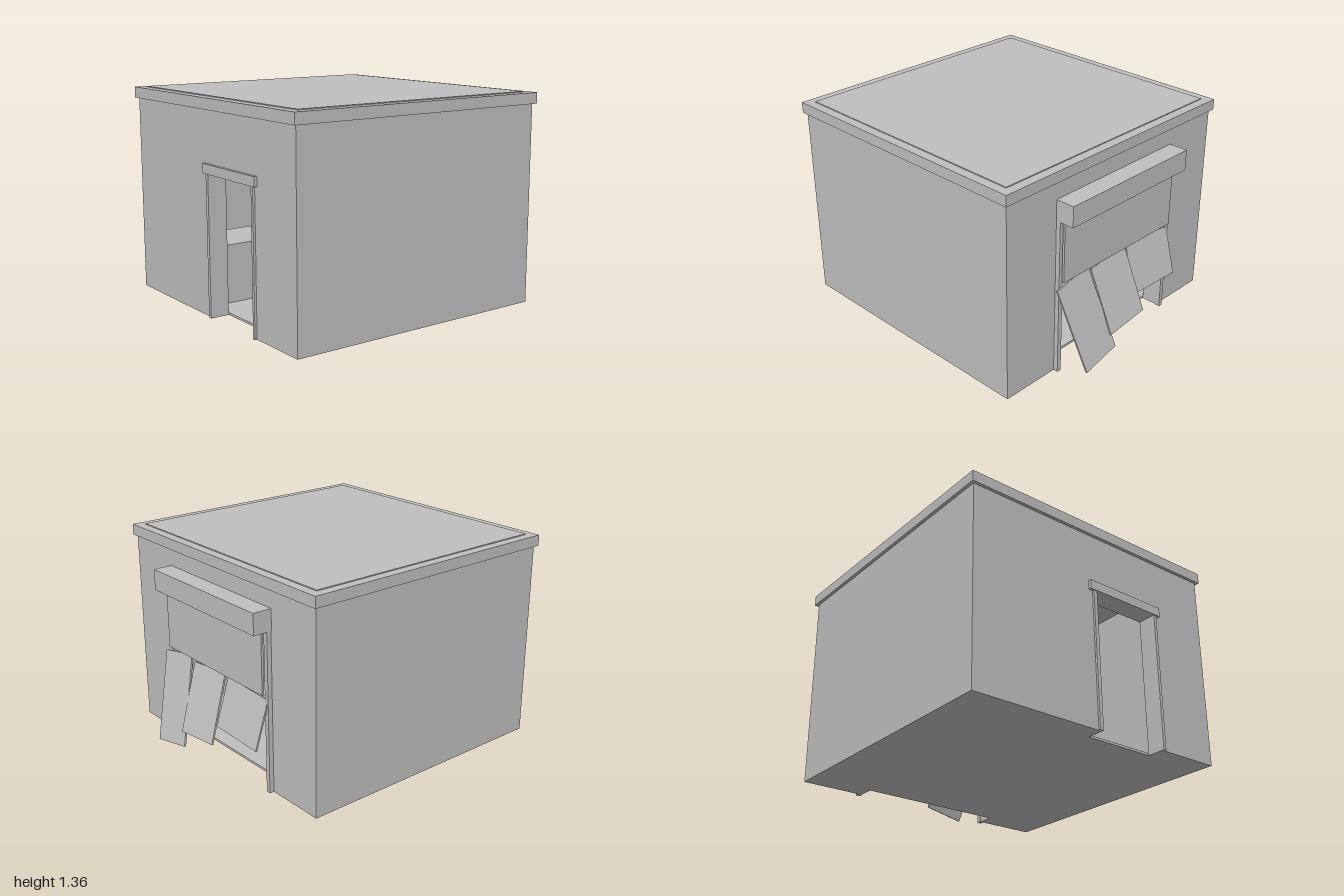
import * as THREE from 'three';

const grey = new THREE.MeshStandardMaterial({ color: 0xbfbfbf });
grey.name = 'plain grey';

export function createModel() {
  const model = new THREE.Group();
  model.name = 'kiosk';

  const add = (name, geometry) => {
    const mesh = new THREE.Mesh(geometry, grey);
    mesh.name = name;
    model.add(mesh);
    return mesh;
  };
  // Box given by its limits on each axis
  const box = (name, x0, x1, y0, y1, z0, z1) =>
    add(name, new THREE.BoxGeometry(x1 - x0, y1 - y0, z1 - z0))
      .position.set((x0 + x1) / 2, (y0 + y1) / 2, (z0 + z1) / 2);

  const W = 0.91, H = 1.28, T = 0.11, BACK = -0.8, FRONT = 0.98;

  // End wall with an opening that reaches the ground
  const openWall = (name, left, right, top, z) => {
    const outline = [[-W, 0], [left, 0], [left, top], [right, top], [right, 0], [W, 0], [W, H], [-W, H]];
    const shape = new THREE.Shape(outline.map(([x, y]) => new THREE.Vector2(x, y)));
    add(name, new THREE.ExtrudeGeometry(shape, { depth: T, bevelEnabled: false })).position.z = z;
  };
  openWall('frontWall', 0, 0.48, 0.895, FRONT - T);
  openWall('backWall', -0.49, 0.49, 1.04, BACK);

  // Side walls and floor
  box('rightWall', -W, -W + T, 0, H, BACK + T, FRONT - T);
  box('leftWall', W - T, W, 0, H, BACK + T, FRONT - T);
  box('floor', -W + T, W - T, 0, 0.015, BACK + T, FRONT - T);

  // Flat roof with a slightly raised inset deck
  box('roofSlab', -0.93, 0.93, H, 1.35, -0.82, 1.0);
  box('roofDeck', -0.87, 0.87, 1.35, 1.356, -0.76, 0.94);

  // Door frame
  box('doorJamb', -0.025, 0, 0, 0.895, FRONT, 0.994);
  box('doorJamb', 0.48, 0.5, 0, 0.895, FRONT, 0.994);
  box('doorLintel', -0.053, 0.525, 0.895, 0.955, FRONT, 1.0);

  // Counter inside the room
  box('counter', -0.55, -0.17, 0.015, 0.395, 0.375, 0.85);

  // Rolling shutter: housing, guide rails and the part still hanging
  box('shutterHousing', -0.52, 0.515, 1.03, 1.165, -0.925, BACK);
  for (const side of [-1, 1]) {
    const x = side * 0.5;
    box('shutterRail', x - 0.015, x + 0.015, 0, 1.03, -0.83, BACK);
  }
  box('shutterCurtain', -0.49, 0.5, 0.635, 1.03, -0.853, -0.838);

  // Broken shutter pieces leaning outwards at different angles
  const pieces = [
    { size: [0.283, 0.585], at: [0.355, 0.343, -0.913], tilt: 0.273, roll: -0.182 },
    { size: [0.32, 0.45], at: [0.058, 0.408, -0.897], tilt: 0.328, roll: -0.09 },
    { size: [0.4, 0.32], at: [-0.3, 0.455, -0.862], tilt: 0.283, roll: 0.03 },
  ];
  for (const { size, at, tilt, roll } of pieces) {
    const piece = add('brokenShutterPiece', new THREE.BoxGeometry(size[0], size[1], 0.012));
    piece.position.set(...at);
    piece.rotation.set(tilt, 0, roll);
  }

  return model;
}
